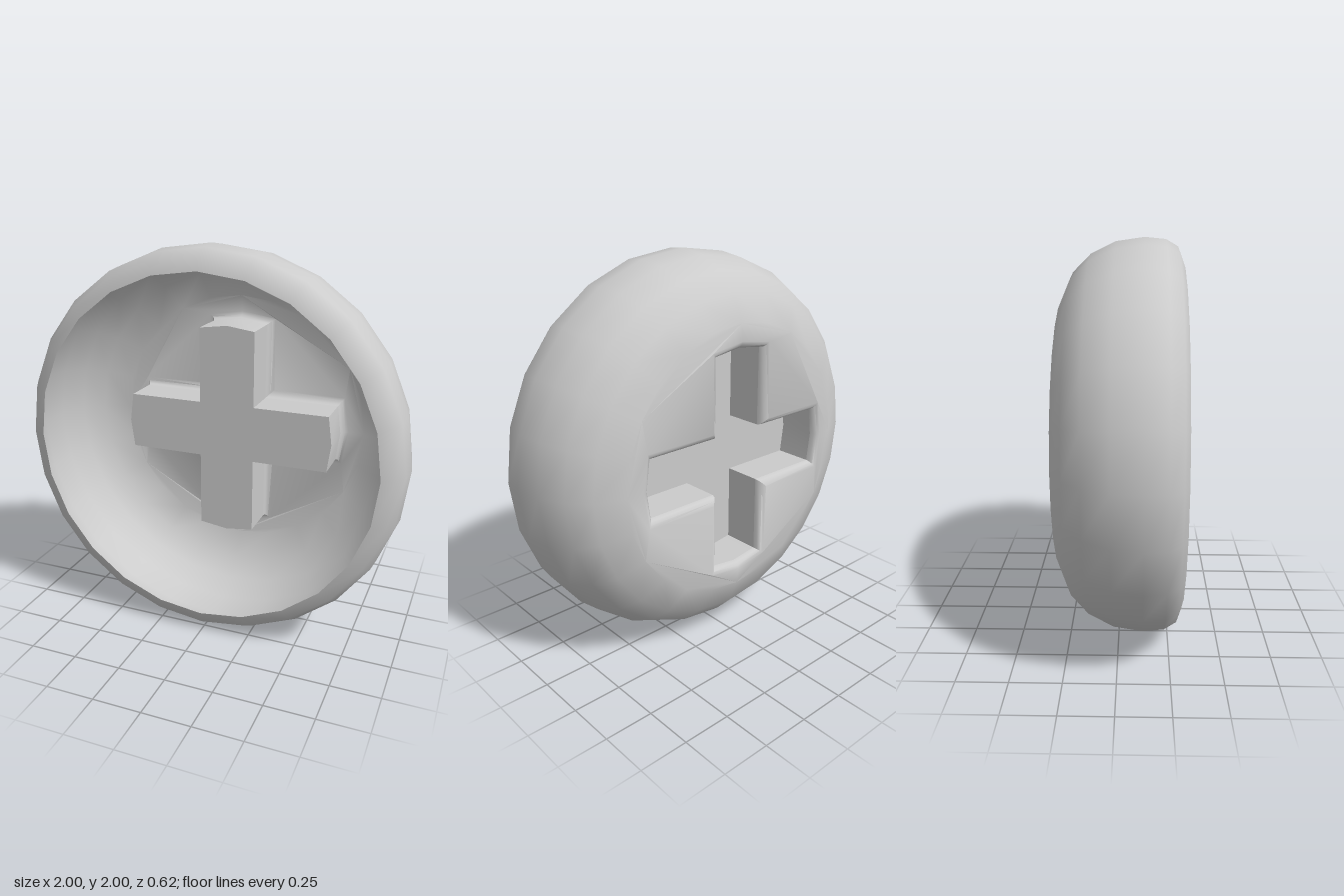
import * as THREE from 'three';
import { mergeGeometries, toCreasedNormals } from 'three/addons/utils/BufferGeometryUtils.js';

const SIDES = 24;
const EDGE = 0.69; // where the curved side meets the back plate

// Slight dome of the back plate
function backZ(r) {
  const t = THREE.MathUtils.clamp((r - 0.4) / (EDGE - 0.4), 0, 1);
  return -0.311 + 0.016 * t * t;
}

// Cross outline with slightly pointed arm ends, anticlockwise from the front
function crossOutline(halfWidth, reach) {
  const points = [];
  const shoulder = Math.sqrt(reach * reach - halfWidth * halfWidth);
  for (let arm = 0; arm < 4; arm++) {
    const corners = [[shoulder, -halfWidth], [reach, 0], [shoulder, halfWidth], [halfWidth, halfWidth]];
    for (const [x, y] of corners) {
      points.push(new THREE.Vector2(x, y).rotateAround(new THREE.Vector2(), arm * Math.PI / 2));
    }
  }
  return points;
}

// Skin between successive cross loops, facing into the recess
function crossSkin(loops) {
  const positions = [];
  const index = [];
  const n = 16;
  for (const { halfWidth, reach, z } of loops) {
    for (const p of crossOutline(halfWidth, reach)) {
      positions.push(p.x, p.y, z === undefined ? backZ(p.length()) : z);
    }
  }
  for (let i = 0; i < loops.length - 1; i++) {
    for (let j = 0; j < n; j++) {
      const a = i * n + j;
      const b = i * n + (j + 1) % n;
      index.push(a, a + n, b, b, a + n, b + n);
    }
  }
  const geometry = new THREE.BufferGeometry();
  geometry.setAttribute('position', new THREE.Float32BufferAttribute(positions, 3));
  geometry.setIndex(index);
  return geometry;
}

// Flat shape turned to face the back, with its depth set by a rule on radius
function backFacing(shape, depth) {
  const geometry = new THREE.ShapeGeometry(shape).rotateY(Math.PI);
  const p = geometry.attributes.position;
  for (let i = 0; i < p.count; i++) p.setZ(i, depth(Math.hypot(p.getX(i), p.getY(i))));
  return geometry;
}

function joined(parts, crease) {
  const plain = parts.map((part) => {
    const g = part.index ? part.toNonIndexed() : part;
    g.deleteAttribute('uv');
    g.deleteAttribute('normal');
    return g;
  });
  return toCreasedNormals(mergeGeometries(plain), crease);
}

export function createModel() {
  const group = new THREE.Group();
  const material = new THREE.MeshStandardMaterial({ color: 0xcccccc, side: THREE.DoubleSide });

  // Curved side, from the back plate round to the front rim
  const profile = [
    [EDGE, -0.295], [0.83, -0.235], [0.92, -0.145], [0.98, -0.02],
    [1, 0.12], [0.99, 0.225], [0.955, 0.285], [0.89, 0.31],
  ].map(([r, z]) => new THREE.Vector2(r, z));
  const side = new THREE.LatheGeometry(profile, SIDES).rotateX(Math.PI / 2);

  // Back plate with the cross opening
  const disc = [];
  for (let i = 0; i < SIDES; i++) {
    const a = i / SIDES * Math.PI * 2;
    disc.push(new THREE.Vector2(EDGE * Math.cos(a), EDGE * Math.sin(a)));
  }
  const plateShape = new THREE.Shape(disc);
  plateShape.holes.push(new THREE.Path(crossOutline(0.185, 0.605)));
  const plate = backFacing(plateShape, backZ);

  // Rounded lip of the opening
  const lip = crossSkin([
    { halfWidth: 0.185, reach: 0.605 },
    { halfWidth: 0.168, reach: 0.588, z: -0.298 },
    { halfWidth: 0.155, reach: 0.575, z: -0.285 },
    { halfWidth: 0.15, reach: 0.57, z: -0.265 },
  ]);

  const shell = new THREE.Mesh(joined([side, plate, lip], 0.85), material);
  shell.name = 'shell';

  // Cross socket, sunk from the back and standing out inside the hollow
  const walls = crossSkin([
    { halfWidth: 0.15, reach: 0.57, z: -0.265 },
    { halfWidth: 0.15, reach: 0.57, z: -0.07 },
  ]);
  const floor = backFacing(new THREE.Shape(crossOutline(0.15, 0.57)), () => -0.07);
  const socket = new THREE.Mesh(joined([walls, floor], 0.6), material);
  socket.name = 'crossSocket';

  group.add(shell, socket);
  group.position.y = 1;
  const model = new THREE.Group();
  model.name = 'crossButton';
  group.name = 'button';
  model.add(group);
  return model;
}
